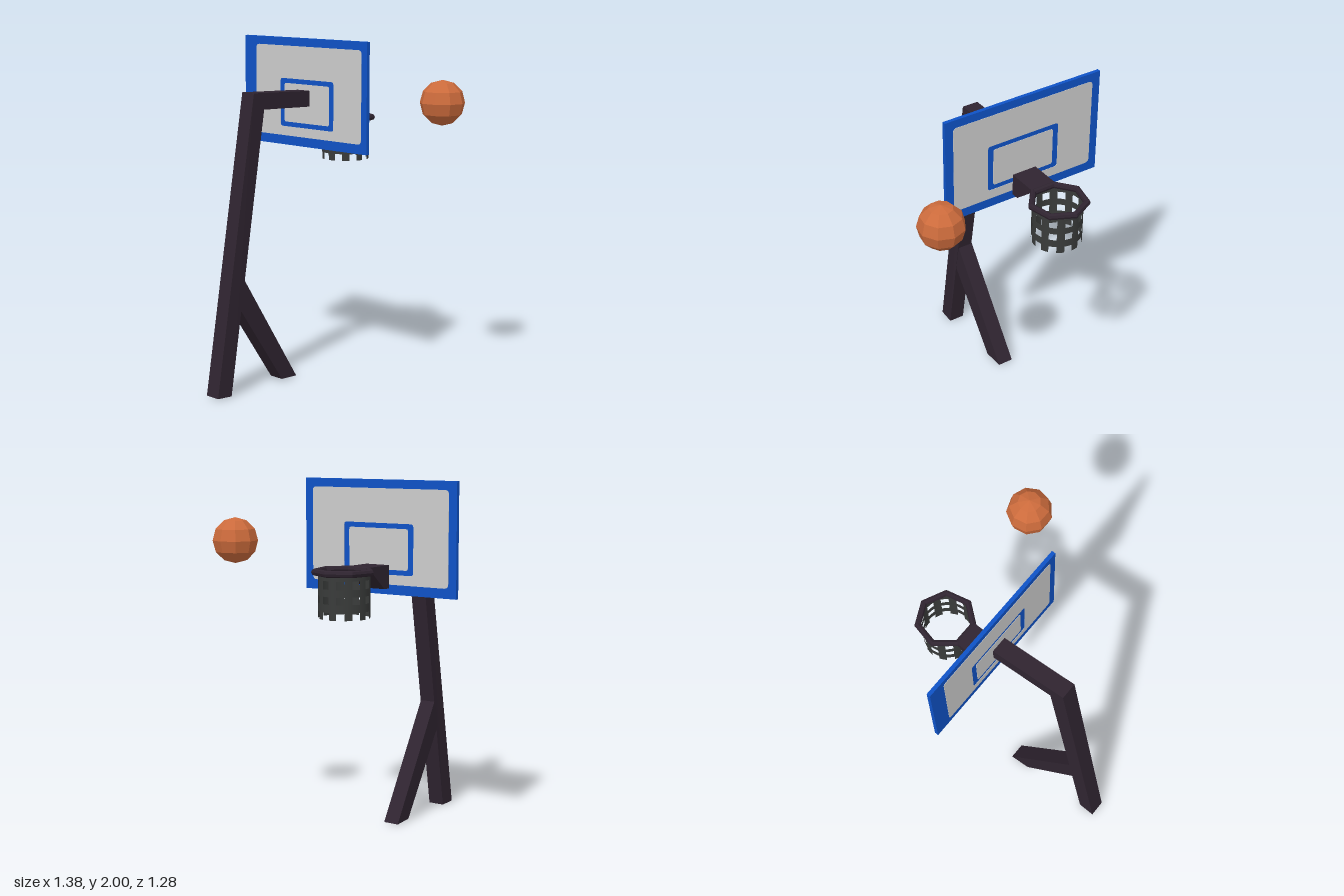
import * as THREE from 'three';
import { mergeGeometries } from 'three/addons/utils/BufferGeometryUtils.js';

const paint = (name, color, extra = {}) => {
  const m = new THREE.MeshStandardMaterial({ color, ...extra });
  m.name = name;
  return m;
};

// Rounded rectangle outline, as a Shape or as a hole Path
function roundRect(Type, x0, y0, x1, y1, r) {
  const p = new Type();
  p.moveTo(x0 + r, y0);
  p.lineTo(x1 - r, y0);
  p.quadraticCurveTo(x1, y0, x1, y0 + r);
  p.lineTo(x1, y1 - r);
  p.quadraticCurveTo(x1, y1, x1 - r, y1);
  p.lineTo(x0 + r, y1);
  p.quadraticCurveTo(x0, y1, x0, y1 - r);
  p.lineTo(x0, y0 + r);
  p.quadraticCurveTo(x0, y0, x0 + r, y0);
  return p;
}

// Side profile of [z, y] points, extruded across x; centre(z) shifts it sideways
function sideProfile(points, width, centre) {
  const shape = new THREE.Shape(points.map(([z, y]) => new THREE.Vector2(z, y)));
  const geo = new THREE.ExtrudeGeometry(shape, { depth: width, bevelEnabled: false });
  geo.translate(0, 0, -width / 2);
  geo.rotateY(-Math.PI / 2);
  const pos = geo.attributes.position;
  for (let i = 0; i < pos.count; i++) pos.setX(i, pos.getX(i) + centre(pos.getZ(i)));
  geo.computeVertexNormals();
  return geo;
}

export function createModel() {
  const model = new THREE.Group();
  model.name = 'basketballHoop';

  const blue = paint('boardBlue', 0x0f52c6);
  const grey = paint('panelGrey', 0xcccccc);
  const dark = paint('darkMetal', 0x2f2430, { flatShading: true });
  const netGrey = paint('netGrey', 0x393b3a, { side: THREE.DoubleSide });
  const orange = paint('ballOrange', 0xcc6b3c, { flatShading: true });

  const add = (name, geometry, material, x = 0, y = 0, z = 0) => {
    const mesh = new THREE.Mesh(geometry, material);
    mesh.name = name;
    mesh.position.set(x, y, z);
    model.add(mesh);
    return mesh;
  };

  // Leaning post with its arm, slightly out of true
  add('postAndArm', sideProfile(
    [[0.64, 0.005], [0.54, 0], [0.275, 1.62], [-0.1, 1.608], [-0.1, 1.7], [0.355, 1.717]],
    0.097,
    z => THREE.MathUtils.mapLinear(Math.min(z, 0.35), -0.1, 0.35, -0.172, -0.151) - Math.max(0, z - 0.35) * 0.025
  ), dark);

  // Diagonal brace
  add('brace', sideProfile(
    [[0.47, 0.5], [0.128, 0.01], [0.005, 0.004], [0.43, 0.66], [0.46, 0.6]],
    0.095,
    z => THREE.MathUtils.mapLinear(z, 0.05, 0.45, -0.177, -0.157)
  ), dark);

  // Backboard with painted panels on both faces
  add('backboard', new THREE.BoxGeometry(1.01, 0.635, 0.022), blue, -0.185, 1.6825, -0.1235);
  const panels = (side, outer, target, z) => {
    const frame = roundRect(THREE.Shape, ...outer, 0.025);
    frame.holes.push(roundRect(THREE.Path, ...target, 0.018));
    const t = 0.035;
    const centre = roundRect(THREE.Shape, target[0] + t, target[1] + t * 0.8, target[2] - t, target[3] - t * 0.8, 0.015);
    const depth = { depth: 0.004, bevelEnabled: false, curveSegments: 4 };
    add(side + 'OuterPanel', new THREE.ExtrudeGeometry(frame, depth), grey, 0, 0, z);
    add(side + 'TargetPanel', new THREE.ExtrudeGeometry(centre, depth), grey, 0, 0, z);
  };
  panels('front', [-0.59, 1.42, 0.278, 1.952], [-0.38, 1.475, 0.06, 1.76], -0.1145);
  panels('back', [-0.64, 1.42, 0.27, 1.952], [-0.415, 1.475, 0.05, 1.76], -0.1365);

  // Bracket between board and rim
  add('rimBracket', sideProfile(
    [[-0.145, 1.4], [-0.145, 1.53], [-0.335, 1.53], [-0.335, 1.505], [-0.31, 1.5], [-0.19, 1.4]].reverse(),
    0.152, () => -0.185
  ), dark);

  // Seven-sided rim
  const rim = new THREE.TorusGeometry(0.156, 0.019, 8, 7);
  rim.rotateX(Math.PI / 2);
  rim.rotateY(Math.PI / 2);
  add('rim', rim, dark, -0.185, 1.515, -0.47);

  // Net: full bands, with separate cords in the open rows
  const R = 0.141, cords = 10, step = Math.PI * 2 / cords;
  const ring = (y0, y1, segments, start, length) => {
    const g = new THREE.CylinderGeometry(R, R, y1 - y0, segments, 1, true, start, length);
    return g.translate(0, (y0 + y1) / 2, 0);
  };
  const parts = [];
  for (const [y0, y1] of [[1.305, 1.35], [1.39, 1.43], [1.475, 1.515]])
    parts.push(ring(y0, y1, 40, 0, Math.PI * 2));
  for (const [y0, y1] of [[1.265, 1.305], [1.35, 1.39], [1.43, 1.475]])
    for (let i = 0; i < cords; i++) parts.push(ring(y0, y1, 2, i * step, step / 2));
  add('net', mergeGeometries(parts), netGrey, -0.185, 0, -0.465);

  // Faceted ball
  const ball = new THREE.SphereGeometry(0.13, 9, 6);
  ball.rotateY(-Math.PI / 2);
  add('ball', ball, orange, 0.562, 1.653, -0.48);

  return model;
}
